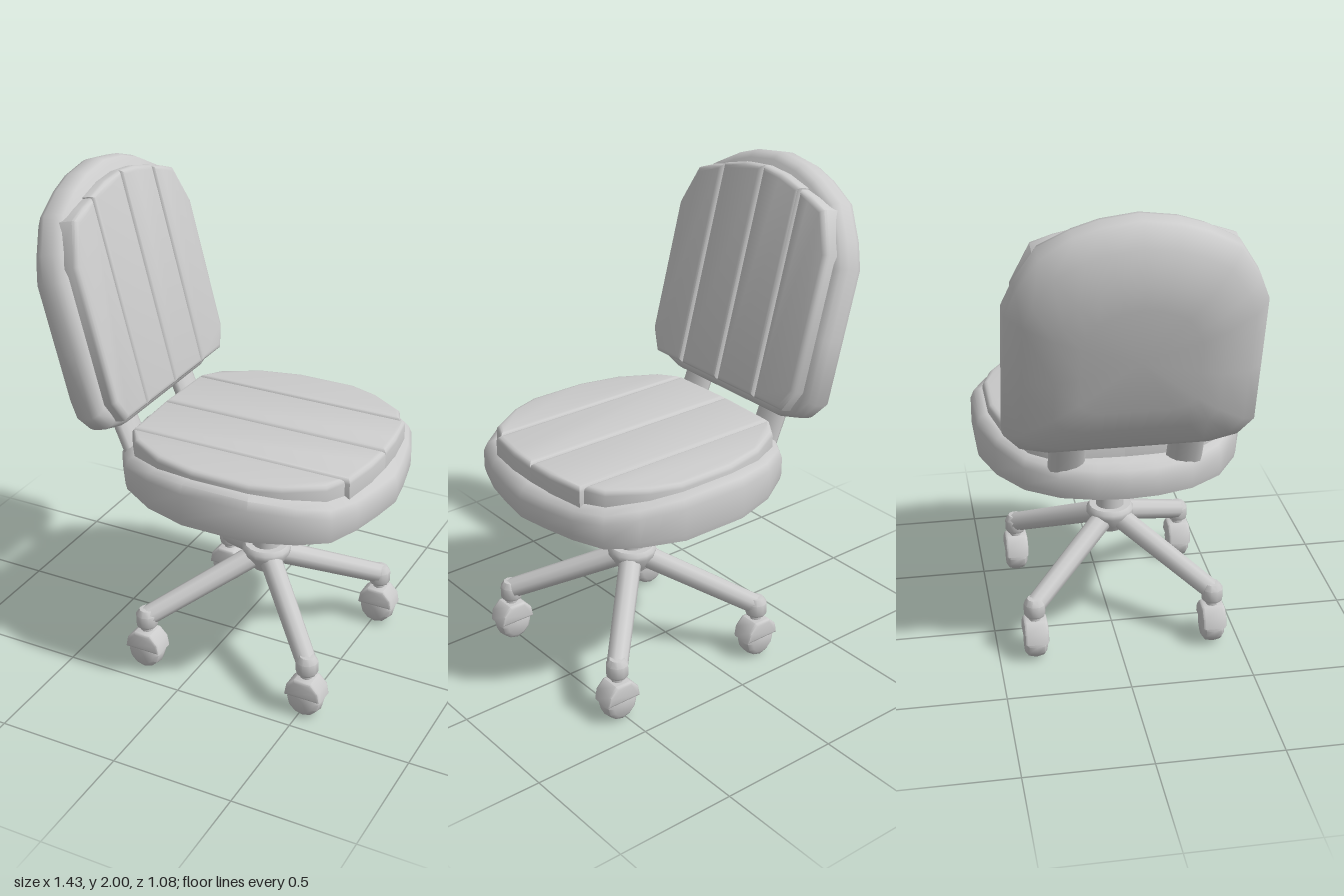
import * as THREE from 'three';
import { toCreasedNormals } from 'three/addons/utils/BufferGeometryUtils.js';

const material = new THREE.MeshStandardMaterial({ color: 0xcccccc });

function part(name, geometry, parent, x = 0, y = 0, z = 0) {
  const mesh = new THREE.Mesh(geometry, material);
  mesh.name = name;
  mesh.position.set(x, y, z);
  parent.add(mesh);
  return mesh;
}

const creased = (geometry, angle = 0.8) => toCreasedNormals(geometry, angle);
const lathe = (points, segments) =>
  creased(new THREE.LatheGeometry(points.map(p => new THREE.Vector2(...p)), segments));

// Closed cushion shell: a counter-clockwise outline scaled about (cx, cy) at several heights
function shell(outline, cx, cy, rings) {
  const n = outline.length, pos = [], idx = [];
  for (const [h, s] of rings)
    for (const [x, y] of outline) pos.push(cx + (x - cx) * s, cy + (y - cy) * s, h);
  for (let r = 0; r < rings.length - 1; r++)
    for (let i = 0; i < n; i++) {
      const a = r * n + i, b = r * n + (i + 1) % n;
      idx.push(a, b, b + n, a, b + n, a + n);
    }
  const last = (rings.length - 1) * n, c = rings.length * n;
  pos.push(cx, cy, rings[0][0], cx, cy, rings[rings.length - 1][0]);
  for (let i = 0; i < n; i++) {
    const j = (i + 1) % n;
    idx.push(c, j, i, c + 1, last + i, last + j);
  }
  const g = new THREE.BufferGeometry();
  g.setAttribute('position', new THREE.Float32BufferAttribute(pos, 3));
  g.setIndex(idx);
  return g;
}

// Soft strip of upholstery with rounded edges, from height h0 to h1
function strip(points, h0, h1) {
  const bevel = 0.022;
  const g = new THREE.ExtrudeGeometry(new THREE.Shape(points.map(p => new THREE.Vector2(...p))), {
    depth: h1 - h0 - 2 * bevel, bevelSize: bevel, bevelOffset: -bevel,
    bevelThickness: bevel, bevelSegments: 3
  });
  return creased(g.translate(0, 0, h0 + bevel));
}

// Half an outline completed by its mirror image across the given axis (0 = x, 1 = y)
const mirrored = (half, axis) => [
  ...half,
  ...half.slice().reverse().filter(p => p[axis] !== 0)
    .map(p => p.map((v, k) => (k === axis ? -v : v)))
];
const flip = (points, axis) => points.map(p => p.map((v, k) => (k === axis ? -v : v)));

function buildSeat(root) {
  const seat = new THREE.Group();
  seat.name = 'seat';
  root.add(seat);
  const outline = mirrored([
    [0.71, 0], [0.69, 0.13], [0.66, 0.27], [0.61, 0.40], [0.50, 0.475], [0.33, 0.54],
    [0.05, 0.54], [-0.13, 0.485], [-0.28, 0.39], [-0.37, 0.26], [-0.41, 0.12], [-0.42, 0]
  ], 1);
  const base = shell(outline, 0.15, 0, [
    [0.73, 0.52], [0.757, 0.76], [0.805, 0.99], [0.83, 1], [0.885, 1], [0.92, 0.975], [0.94, 0.92]
  ]);
  base.rotateX(-Math.PI / 2);
  // The rim rises along both sides
  const p = base.attributes.position;
  for (let i = 0; i < p.count; i++)
    if (p.getY(i) > 0.86) p.setY(i, p.getY(i) + 0.055 * Math.min(1, Math.abs(p.getZ(i)) / 0.52) ** 4);
  part('seatBase', creased(base, 0.9), seat);

  const inner = [[-0.32, 0], [0.655, 0], [0.65, 0.12], [0.625, 0.277], [-0.31, 0.277]];
  const outer = [[-0.31, 0.277], [0.605, 0.277], [0.57, 0.36], [0.43, 0.45], [0.31, 0.49],
    [0.07, 0.49], [-0.10, 0.45], [-0.25, 0.365]];
  for (const [name, pts] of [['Inner', inner], ['Outer', outer]])
    for (const side of [1, -1]) {
      const g = strip(side > 0 ? pts : flip(pts, 1), 0.86, 1.02);
      part('seatPad' + name, g.rotateX(-Math.PI / 2), seat);
    }
}

function buildBackrest(root) {
  const back = new THREE.Group();
  back.name = 'backrest';
  back.rotation.z = THREE.MathUtils.degToRad(15);
  root.add(back);
  const outline = mirrored([
    [0, 1.09], [0.31, 1.09], [0.42, 1.12], [0.48, 1.19], [0.48, 1.45], [0.48, 1.74],
    [0.44, 1.84], [0.36, 1.97], [0.24, 2.035], [0.14, 2.07], [0, 2.09]
  ], 0);
  const base = shell(outline, 0, 1.59, [
    [-0.248, 0.45], [-0.232, 0.64], [-0.185, 0.87], [-0.13, 0.99], [-0.11, 1], [-0.06, 1],
    [-0.03, 0.975], [-0.015, 0.93]
  ]);
  part('backBase', creased(base.rotateY(Math.PI / 2), 0.9), back);

  const inner = [[0, 1.14], [0.225, 1.14], [0.225, 1.99], [0.11, 2.02], [0, 2.03]];
  const outer = [[0.225, 1.14], [0.39, 1.14], [0.44, 1.23], [0.44, 1.78], [0.37, 1.94],
    [0.29, 1.97], [0.225, 1.985]];
  for (const [name, pts] of [['Inner', inner], ['Outer', outer]])
    for (const side of [1, -1]) {
      const g = strip(side > 0 ? pts : flip(pts, 0), -0.08, 0.038);
      part('backPad' + name, g.rotateY(Math.PI / 2), back);
    }
}

// Flat oval struts joining backrest and seat
function buildStruts(root) {
  for (const side of [1, -1]) {
    const strut = part('backStrut', new THREE.CylinderGeometry(0.036, 0.036, 0.3, 12), root,
      -0.355, 0.99, side * 0.23);
    strut.scale.z = 2;
    strut.rotation.z = 0.4;
  }
}

function buildCaster(parent, x, z) {
  const caster = new THREE.Group();
  caster.name = 'caster';
  caster.position.set(x, 0, z);
  parent.add(caster);
  part('casterStem', new THREE.CylinderGeometry(0.025, 0.025, 0.08, 8), caster, 0, 0.18, 0);
  const wheel = lathe([[0, -0.045], [0.05, -0.045], [0.068, -0.032], [0.075, 0],
    [0.068, 0.032], [0.05, 0.045], [0, 0.045]], 12);
  part('wheel', wheel.rotateX(Math.PI / 2), caster, 0, 0.075, 0);
  // Hood over the top half of the wheel
  const hood = new THREE.Shape([[-0.078, 0], [0.078, 0], [0.07, 0.045], [0.035, 0.08],
    [-0.035, 0.08], [-0.07, 0.045]].map(q => new THREE.Vector2(...q)));
  const g = new THREE.ExtrudeGeometry(hood, { depth: 0.076, bevelSize: 0.012, bevelOffset: -0.012,
    bevelThickness: 0.012, bevelSegments: 2 });
  part('wheelHood', creased(g.translate(0, 0, -0.038)), caster, 0, 0.09, 0);
}

function buildBase(root) {
  const base = new THREE.Group();
  base.name = 'base';
  base.position.set(0.16, 0, 0.02);
  root.add(base);
  part('underDish', lathe([[0, 0.68], [0.12, 0.68], [0.15, 0.69], [0.21, 0.735], [0, 0.735]], 20), base);
  part('collar', lathe([[0, 0.643], [0.085, 0.643], [0.09, 0.65], [0.09, 0.685], [0, 0.685]], 16), base);
  part('column', new THREE.CylinderGeometry(0.06, 0.06, 0.26, 16), base, 0, 0.54, 0);
  part('hub', lathe([[0, 0.375], [0.055, 0.375], [0.07, 0.40], [0.1, 0.45], [0.1, 0.47],
    [0.088, 0.485], [0, 0.485]], 16), base);

  const up = new THREE.Vector3(0, 1, 0);
  for (const sx of [1, -1])
    for (const sz of [1, -1]) {
      const a = new THREE.Vector3(sx * 0.04, 0.43, sz * 0.04);
      const b = new THREE.Vector3(sx * 0.36, 0.232, sz * 0.37);
      const dir = b.clone().sub(a);
      const leg = part('leg', new THREE.CylinderGeometry(0.042, 0.046, dir.length(), 10), base);
      leg.position.copy(a).add(b).multiplyScalar(0.5);
      leg.quaternion.setFromUnitVectors(up, dir.normalize());
      part('legEnd', lathe([[0, 0.19], [0.04, 0.19], [0.045, 0.2], [0.045, 0.245],
        [0.03, 0.268], [0, 0.273]], 10), base, b.x, 0, b.z);
      buildCaster(base, b.x, b.z);
    }
}

export function createModel() {
  const root = new THREE.Group();
  root.name = 'deskChair';
  buildSeat(root);
  buildBackrest(root);
  buildStruts(root);
  buildBase(root);
  return root;
}
